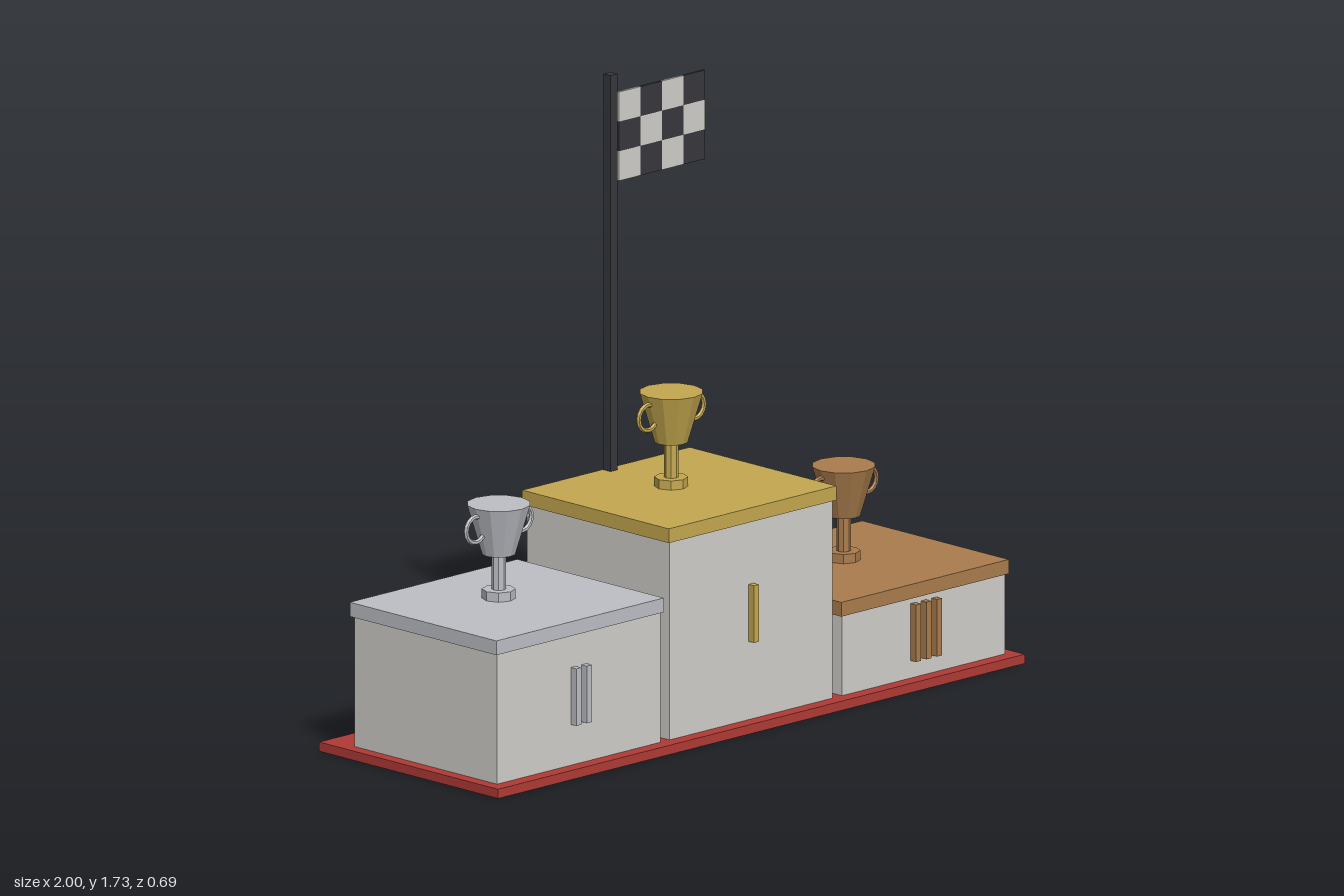
import * as THREE from 'three';

const mat = (color) => new THREE.MeshStandardMaterial({ color, flatShading: true });

function add(parent, name, geometry, material, x = 0, y = 0, z = 0) {
  const mesh = new THREE.Mesh(geometry, material);
  mesh.name = name;
  mesh.position.set(x, y, z);
  parent.add(mesh);
  return mesh;
}

// Box given by its bottom height
function addBox(parent, name, [w, h, d], material, x, bottom, z) {
  return add(parent, name, new THREE.BoxGeometry(w, h, d), material, x, bottom + h / 2, z);
}

// Two-handled cup standing on y = 0
function createTrophy(material) {
  const cup = new THREE.Group();
  cup.name = 'trophy';
  add(cup, 'trophyFoot', new THREE.CylinderGeometry(0.046, 0.046, 0.026, 8), material, 0, 0.013);
  add(cup, 'trophyStem', new THREE.CylinderGeometry(0.02, 0.02, 0.105, 8), material, 0, 0.076);
  add(cup, 'trophyBowl', new THREE.CylinderGeometry(0.088, 0.046, 0.14, 12), material, 0, 0.195);
  for (const side of [-1, 1]) {
    add(cup, 'trophyHandle', new THREE.TorusGeometry(0.036, 0.007, 6, 16), material, side * 0.088, 0.208);
  }
  return cup;
}

export function createModel() {
  const model = new THREE.Group();
  model.name = 'winnersPodium';

  const red = mat(0xb03a35);
  const white = mat(0xd0cec9);
  const dark = mat(0x36373c);

  addBox(model, 'basePlate', [2, 0.026, 0.69], red, 0, 0, 0);

  // Steps, each with a coloured cap, rank bars and a trophy
  const steps = [
    { rank: 1, x: 0, top: 0.62, bars: 0.245, color: 0xc4a84f },
    { rank: 2, x: -0.655, top: 0.43, bars: 0.14, color: 0xbcbec4 },
    { rank: 3, x: 0.655, top: 0.29, bars: 0.075, color: 0xa97c4c },
  ];
  for (const { rank, x, top, bars, color } of steps) {
    const metal = mat(color);
    const step = new THREE.Group();
    step.name = 'podiumStep';
    step.position.x = x;
    model.add(step);
    addBox(step, 'stepBlock', [0.62, top - 0.02, 0.55], white, 0, 0.01, 0.03);
    addBox(step, 'stepCap', [0.636, 0.04, 0.565], metal, 0, top - 0.04, 0.028);
    for (let i = 0; i < rank; i++) {
      const barX = (i - (rank - 1) / 2) * 0.04;
      addBox(step, 'rankBar', [0.019, 0.16, 0.024], metal, barX, bars, 0.314);
    }
    const trophy = createTrophy(metal);
    trophy.position.set(0, top, -0.003);
    step.add(trophy);
  }

  // Flagpole at the back of the tallest step
  const flagZ = -0.237;
  addBox(model, 'flagPole', [0.026, 1.12, 0.026], dark, 0, 0.61, flagZ);

  // Chequered flag, 4 by 3 cells
  const flag = new THREE.Group();
  flag.name = 'flag';
  model.add(flag);
  const cellW = 0.0815, cellH = 0.083;
  for (let row = 0; row < 3; row++) {
    for (let col = 0; col < 4; col++) {
      addBox(flag, 'flagCell', [cellW, cellH, 0.008], (row + col) % 2 ? dark : white,
        0.029 + (col + 0.5) * cellW, 1.425 + row * cellH, flagZ);
    }
  }
  return model;
}
